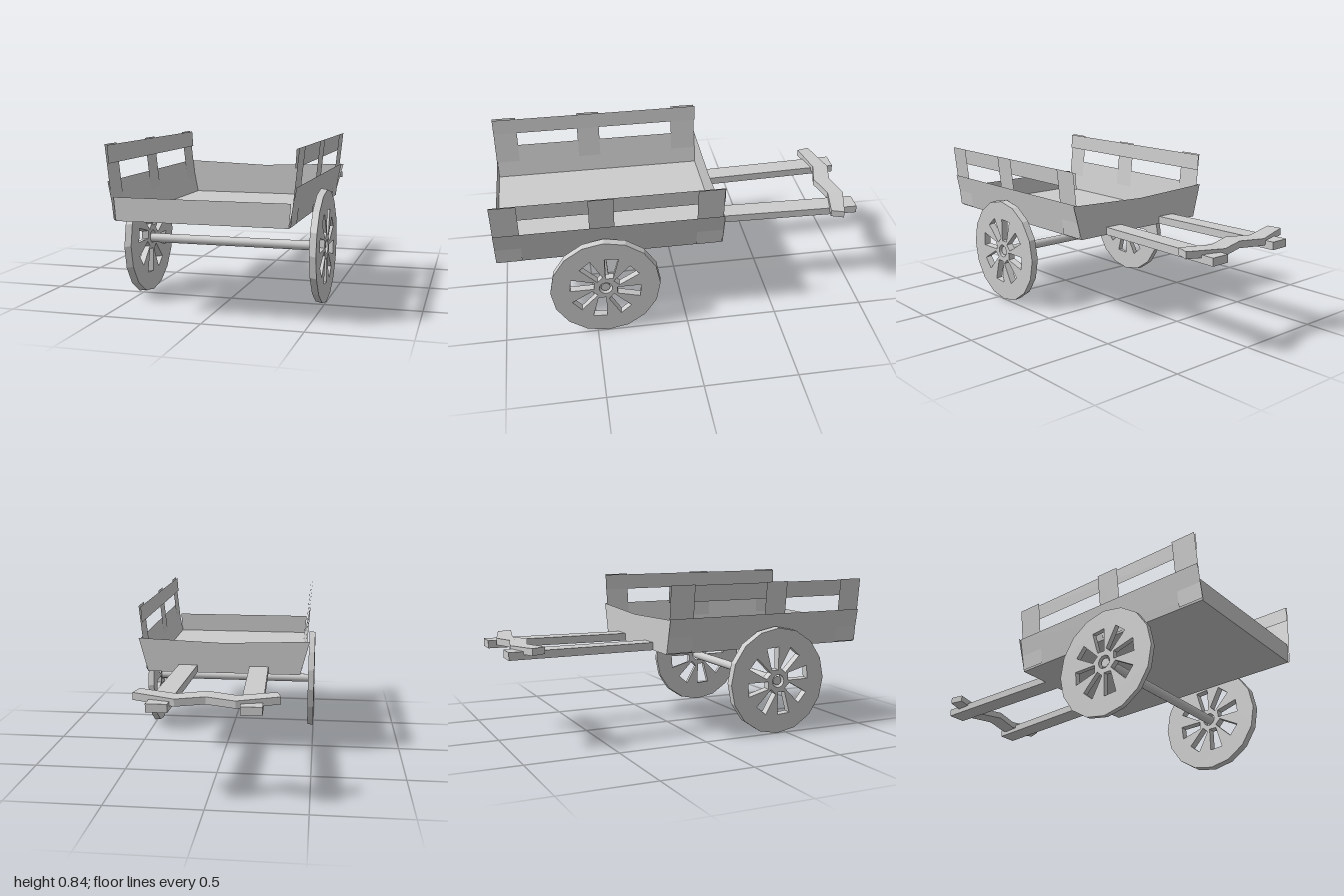
import * as THREE from 'three';

export function createModel() {
  const cart = new THREE.Group();
  cart.name = 'handCart';
  const wood = new THREE.MeshStandardMaterial({ color: 0xcccccc, side: THREE.DoubleSide });
  wood.name = 'paleGrey';

  const add = (name, geo) => {
    const mesh = new THREE.Mesh(geo, wood);
    mesh.name = name;
    cart.add(mesh);
    return mesh;
  };

  // Thin flat board from a convex outline of 3D points
  const board = (name, pts) => {
    const pos = [];
    for (let i = 1; i < pts.length - 1; i++) pos.push(...pts[0], ...pts[i], ...pts[i + 1]);
    const g = new THREE.BufferGeometry();
    g.setAttribute('position', new THREE.Float32BufferAttribute(pos, 3));
    g.computeVertexNormals();
    return add(name, g);
  };

  // Beam lofted through rectangular sections: [backPoint, frontPoint, height], y at the bottom
  const beam = (name, sections) => {
    const pos = [];
    const quad = (a, b, c, d) => pos.push(...a, ...b, ...c, ...a, ...c, ...d);
    const rings = sections.map(([p, q, h]) => [
      p, q, [q[0], q[1] + h, q[2]], [p[0], p[1] + h, p[2]],
    ]);
    for (let i = 0; i < rings.length - 1; i++) {
      for (let j = 0; j < 4; j++) {
        const k = (j + 1) % 4;
        quad(rings[i][j], rings[i][k], rings[i + 1][k], rings[i + 1][j]);
      }
    }
    const last = rings[rings.length - 1];
    quad(rings[0][3], rings[0][2], rings[0][1], rings[0][0]);
    quad(last[0], last[1], last[2], last[3]);
    const g = new THREE.BufferGeometry();
    g.setAttribute('position', new THREE.Float32BufferAttribute(pos, 3));
    g.computeVertexNormals();
    return add(name, g);
  };

  // Bed: floor, front lip and dipped back board
  const front = 0.995, back = -0.2, base = 0.475;
  board('floor', [[-0.425, base, front], [0.425, base, front], [0.425, base, back], [-0.425, base, back]]);
  board('frontBoard', [[-0.425, base, front], [0.425, base, front], [0.435, 0.59, front], [-0.435, 0.59, front]]);
  board('backBoard', [[0, 0.645, back], [-0.475, 0.663, back], [-0.425, base, back],
    [0.425, base, back], [0.475, 0.663, back]]);

  // Leaning sides: lower plank, top rail and three posts
  for (const [side, s] of [['left', 1], ['right', -1]]) {
    const panel = (name, x0, y0, x1, y1, z0, z1) => board(side + name,
      [[s * x0, y0, z1], [s * x0, y0, z0], [s * x1, y1, z0], [s * x1, y1, z1]]);
    panel('SidePlank', 0.425, base, 0.461, 0.665, back, 1);
    panel('TopRail', 0.454, 0.75, 0.46, 0.838, back, 1);
    for (const [z0, z1] of [[-0.195, -0.055], [0.38, 0.51], [0.865, 1]]) {
      panel('Post', 0.433, 0.48, 0.472, 0.842, z0, z1);
    }

    // Pulling shaft, splaying out toward the handle
    beam(side + 'Shaft', [
      [[s * 0.145, base, back], [s * 0.25, base, back], 0.042],
      [[s * 0.17, base + 0.003, -1], [s * 0.275, base + 0.003, -1], 0.042],
    ].map(([a, b, h]) => (s > 0 ? [a, b, h] : [b, a, h])));
  }

  // Wavy yoke across the shafts
  beam('yoke', [
    [-0.355, -0.9, -0.335, -0.83, 0.508],
    [-0.145, -0.96, -0.145, -0.87, 0.498],
    [0, -0.925, 0, -0.83, 0.504],
    [0.145, -0.96, 0.145, -0.87, 0.498],
    [0.355, -0.9, 0.335, -0.83, 0.508],
  ].map(([xa, za, xb, zb, y]) => [[xa, y, za], [xb, y + 0.003, zb], 0.037]));

  // Wheel outline with eight skewed windows and a hub hole
  const ring = (r, n) => Array.from({ length: n }, (_, i) => {
    const a = (i / n) * Math.PI * 2;
    return new THREE.Vector2(r * Math.cos(a), r * Math.sin(a));
  });
  const disc = new THREE.Shape(ring(0.295, 16));
  disc.holes.push(new THREE.Path(ring(0.036, 16)));
  for (let i = 0; i < 8; i++) {
    const corners = [[0, 0.062], [0, 0.19], [-0.075, 0.184], [-0.042, 0.062]].map(([x, y]) =>
      new THREE.Vector2(x, y).rotateAround(new THREE.Vector2(), (i * Math.PI) / 4));
    disc.holes.push(new THREE.Path(corners));
  }

  // Two wheels, each slightly skewed toward the bed
  for (const [name, x] of [['leftWheel', 0.5], ['rightWheel', -0.465]]) {
    const g = new THREE.ExtrudeGeometry(disc, { depth: 0.035, bevelEnabled: false });
    g.rotateY(-Math.PI / 2);
    g.translate(x, 0.295, 0.445);
    const p = g.attributes.position;
    for (let i = 0; i < p.count; i++) {
      const inward = 0.5 - Math.abs(p.getX(i));
      p.setY(i, p.getY(i) + inward * 0.16);
      p.setZ(i, p.getZ(i) - inward * 0.14);
    }
    g.computeVertexNormals();
    add(name, g);
  }

  // Axle
  const axle = new THREE.CylinderGeometry(0.025, 0.025, 0.98, 16);
  axle.rotateZ(Math.PI / 2);
  axle.translate(0, 0.295, 0.445);
  add('axle', axle);

  return cart;
}
